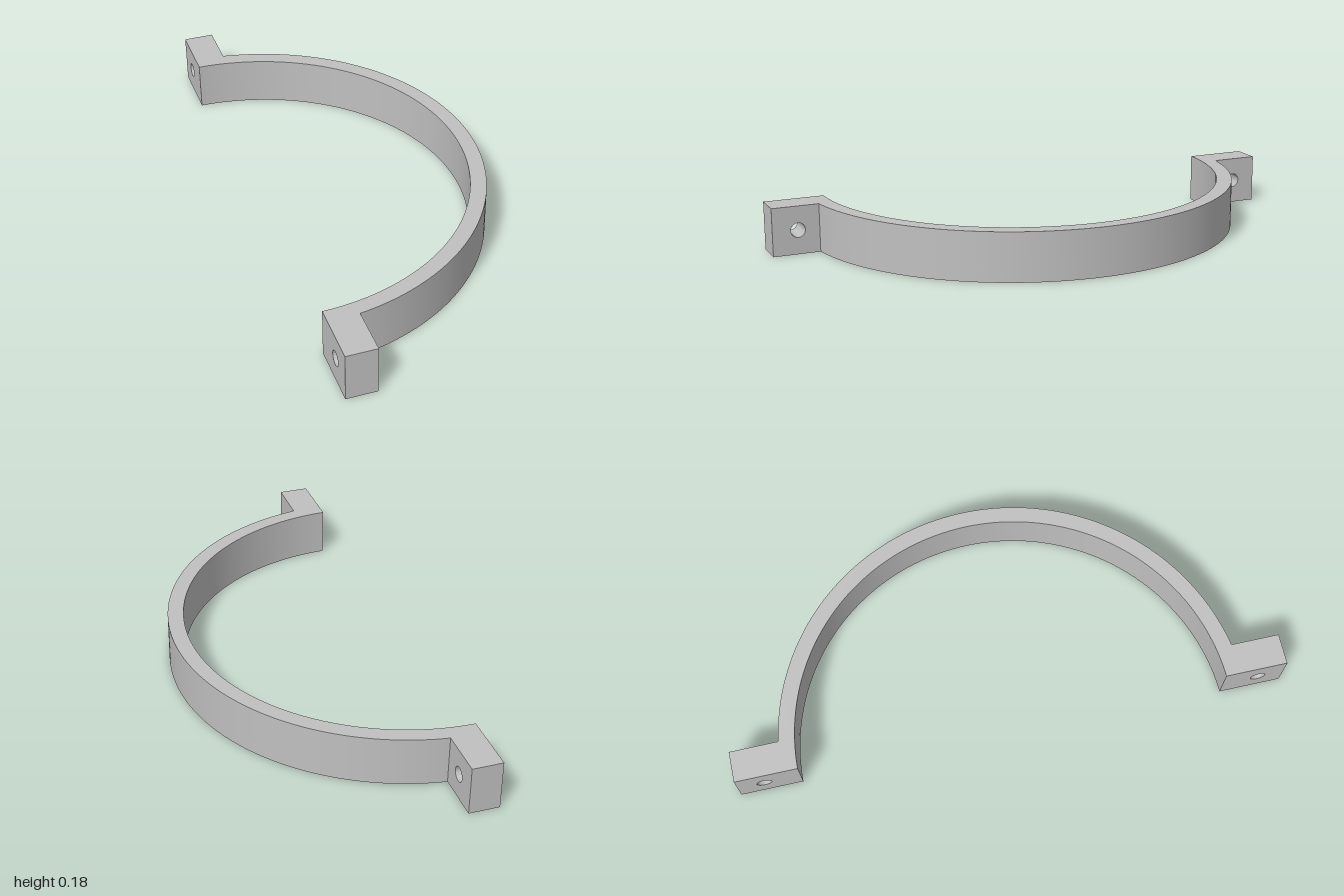
import * as THREE from 'three';
import { toCreasedNormals } from 'three/addons/utils/BufferGeometryUtils.js';

const HEIGHT = 0.18;
const CENTRE_X = -0.42, INNER_R = 0.775, OUTER_R = 0.833;
const BACK_X = -0.413, TAB_FRONT_X = -0.302;
const TAB_INNER_Z = 0.8246, TAB_OUTER_Z = 1;
const HOLE_Z = 0.905, HOLE_R = 0.027;

// Half-ring strap, cut flat where it meets the mounting plane
function bandGeometry() {
  const outer = Math.acos((BACK_X - CENTRE_X) / OUTER_R);
  const inner = Math.acos((BACK_X - CENTRE_X) / INNER_R);
  const shape = new THREE.Shape();
  shape.absarc(CENTRE_X, 0, OUTER_R, -outer, outer, false);
  shape.absarc(CENTRE_X, 0, INNER_R, inner, -inner, true);
  shape.closePath();
  const geo = new THREE.ExtrudeGeometry(shape, { depth: HEIGHT, bevelEnabled: false, curveSegments: 72 });
  geo.rotateX(-Math.PI / 2);
  return toCreasedNormals(geo, 0.5);
}

// Mounting block with a screw hole running along x
function tabGeometry(side) {
  const z0 = side > 0 ? TAB_INNER_Z : -TAB_OUTER_Z;
  const z1 = side > 0 ? TAB_OUTER_Z : -TAB_INNER_Z;
  const shape = new THREE.Shape();
  shape.moveTo(z0, 0);
  shape.lineTo(z1, 0);
  shape.lineTo(z1, HEIGHT);
  shape.lineTo(z0, HEIGHT);
  shape.closePath();
  const hole = new THREE.Path();
  hole.absarc(side * HOLE_Z, HEIGHT / 2, HOLE_R, 0, Math.PI * 2, true);
  shape.holes.push(hole);
  const geo = new THREE.ExtrudeGeometry(shape, {
    depth: TAB_FRONT_X - BACK_X, bevelEnabled: false, curveSegments: 32,
  });
  geo.rotateY(-Math.PI / 2);
  geo.translate(TAB_FRONT_X, 0, 0);
  return toCreasedNormals(geo, 0.5);
}

export function createModel() {
  const metal = new THREE.MeshStandardMaterial({ color: 0xc0c0c0 });
  metal.name = 'grey metal';

  const model = new THREE.Group();
  model.name = 'pipeClamp';
  const add = (name, geo) => {
    const mesh = new THREE.Mesh(geo, metal);
    mesh.name = name;
    model.add(mesh);
  };

  add('curvedBand', bandGeometry());
  add('frontMountingTab', tabGeometry(1));
  add('backMountingTab', tabGeometry(-1));
  return model;
}
